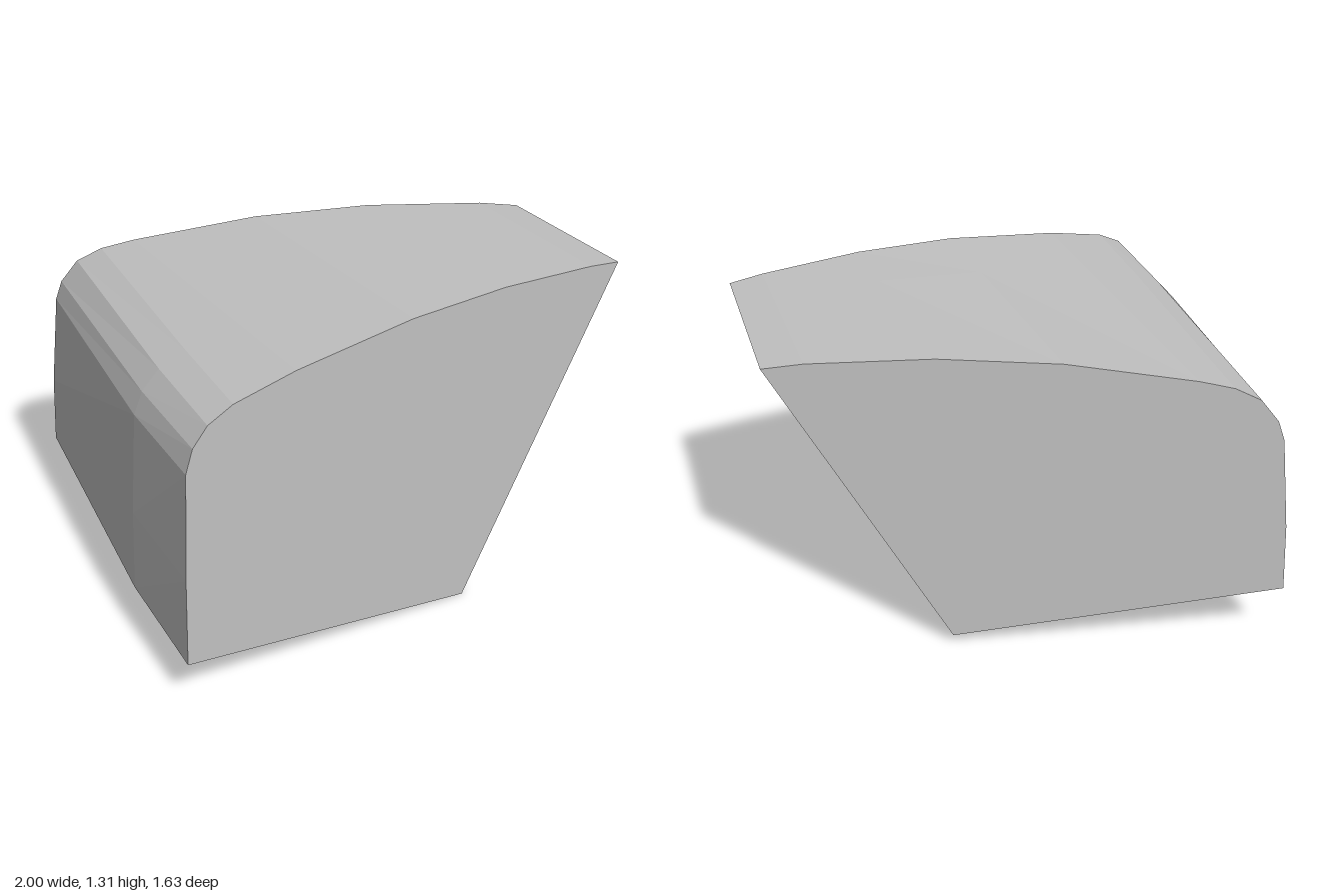
import * as THREE from 'three';

// End profiles as [x, y], clockwise from the lower left corner
const frontProfile = [
  [-1, 0.19], [-0.99, 0.55], [-0.97, 0.97], [-0.94, 1.06], [-0.88, 1.13], [-0.78, 1.18],
  [-0.53, 1.235], [-0.04, 1.3], [0.38, 1.317], [0.8, 1.3], [0.94, 1.285], [0.245, 0.003],
];
const backProfile = [
  [-0.865, 0.27], [-0.855, 0.56], [-0.82, 0.95], [-0.795, 1.03], [-0.73, 1.12], [-0.635, 1.17],
  [-0.51, 1.2], [-0.04, 1.275], [0.4, 1.299], [0.85, 1.282], [1, 1.262], [0.375, 0.05],
];
// Outward swell of the rounded side wall at the middle section
const swell = [0.03, 0.028, 0.024, 0.018, 0.012, 0.006];

// Each end lies in its own tilted plane
const front = frontProfile.map(([x, y]) =>
  new THREE.Vector3(x, y, 0.815 - 0.061 * (x + 1) - 0.006 * (y - 0.19)));
const back = backProfile.map(([x, y]) =>
  new THREE.Vector3(x, y, -0.815 + 0.395 * (x + 0.865) + 0.038 * (y - 0.27)));
const middle = front.map((p, i) => {
  const q = p.clone().lerp(back[i], 0.3);
  q.x -= swell[i] ?? 0;
  if (i === 0) q.y += 0.005; // keeps the underside flat
  return q;
});

function surface(name, triangles, material) {
  const geometry = new THREE.BufferGeometry().setFromPoints(triangles);
  geometry.computeVertexNormals();
  const mesh = new THREE.Mesh(geometry, material);
  mesh.name = name;
  return mesh;
}

// Walls joining two sections, from profile point a to point b
function walls(a, b) {
  const out = [];
  const rings = [front, middle, back];
  for (let r = 0; r < 2; r++) {
    for (let i = a; i < b; i++) {
      const j = (i + 1) % front.length;
      const [f, g] = [rings[r], rings[r + 1]];
      out.push(f[i], f[j], g[i], f[j], g[j], g[i]);
    }
  }
  return out;
}

// Fan filling a flat convex end
function cap(ring, flip) {
  const out = [];
  for (let i = 1; i < ring.length - 1; i++) {
    out.push(ring[0], ring[flip ? i : i + 1], ring[flip ? i + 1 : i]);
  }
  return out;
}

export function createModel() {
  const group = new THREE.Group();
  group.name = 'taperedBlock';
  const grey = new THREE.MeshStandardMaterial({ color: 0xc0c0c0, flatShading: true });
  grey.name = 'light grey';

  group.add(
    surface('frontFace', cap(front, false), grey),
    surface('backFace', cap(back, true), grey),
    surface('roundedSideAndTop', walls(0, 10), grey),
    surface('slantedSide', walls(10, 11), grey),
    surface('underside', walls(11, 12), grey),
  );
  return group;
}
